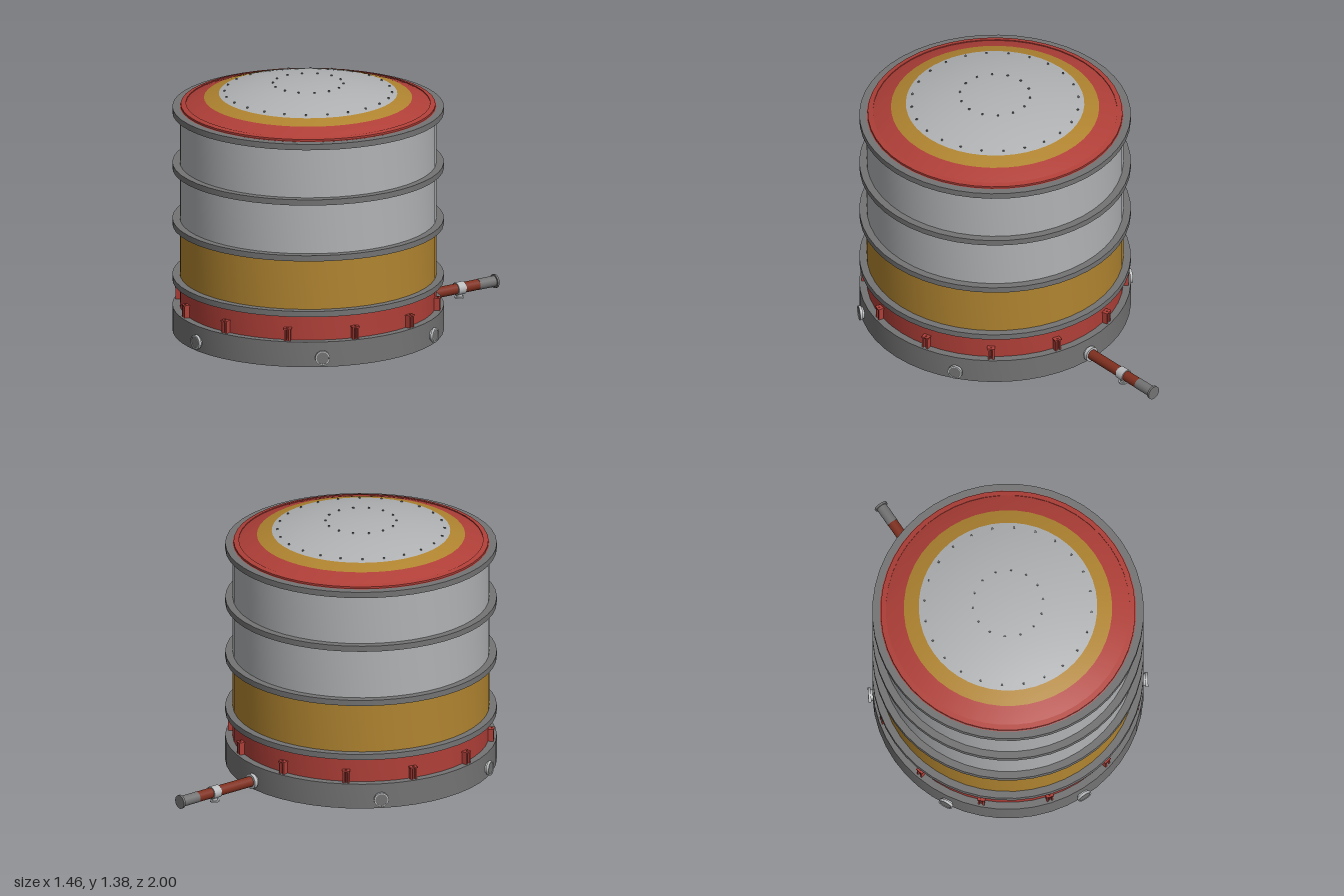
import * as THREE from 'three';
import { toCreasedNormals } from 'three/addons/utils/BufferGeometryUtils.js';

const SEG = 48, CZ = 0.245, WALL = 0.69, RIM = 0.73, PIPE_Y = 0.055;

function paint(name, color, side = THREE.FrontSide) {
  const m = new THREE.MeshStandardMaterial({ color, side });
  m.name = name;
  return m;
}

export function createModel() {
  const D = THREE.DoubleSide;
  const grey = paint('light grey', 0xb0b2b4, D);
  const ochre = paint('ochre', 0xb08430, D);
  const red = paint('red', 0xb03f38, D);
  const steel = paint('dark grey', 0x737373, D);
  const rust = paint('dark red', 0x80301f);
  const fitting = paint('pale grey', 0xb9bbbd, D);

  const model = new THREE.Group();
  model.name = 'storageTank';
  const tank = new THREE.Group();
  tank.name = 'tankBody';
  tank.position.z = CZ;
  model.add(tank);

  const add = (parent, name, geo, mat, x = 0, y = 0, z = 0) => {
    const mesh = new THREE.Mesh(geo, mat);
    mesh.name = name;
    mesh.position.set(x, y, z);
    parent.add(mesh);
    return mesh;
  };
  const lathe = (points, seg = SEG) => toCreasedNormals(
    new THREE.LatheGeometry(points.map(([r, y]) => new THREE.Vector2(r, y)), seg), 0.5);
  // Cylinder lying along z
  const rod = (r, length, seg = 20) => new THREE.CylinderGeometry(r, r, length, seg).rotateX(Math.PI / 2);

  // Base curb, open below
  add(tank, 'baseRing', lathe([[RIM, 0], [RIM, 0.14], [0.685, 0.14]]), steel);

  // Wall courses, open inside
  [['lowerWall', 0.14, 0.295, red], ['bandWall', 0.295, 0.605, ochre],
    ['middleWall', 0.605, 0.92, grey], ['upperWall', 0.92, 1.24, grey]]
    .forEach(([name, a, b, mat]) => add(tank, name, lathe([[WALL, a], [WALL, b]]), mat));

  // Stiffening rings
  [[0.28, 0.312], [0.592, 0.624], [0.905, 0.937], [1.215, 1.248]].forEach(([a, b]) =>
    add(tank, 'stiffeningRing', lathe([[0.675, a], [RIM, a], [RIM, b], [0.675, b], [0.675, a]]), steel));

  // Domed roof in three coloured zones
  const R = 1.83, APEX = 1.385;
  const roofY = r => APEX - R + Math.sqrt(R * R - r * r);
  const zone = (outer, inner, steps) => lathe(Array.from({ length: steps + 1 }, (_, i) => {
    const r = outer + (inner - outer) * i / steps;
    return [r, roofY(r)];
  }));
  add(tank, 'roofOuterZone', zone(WALL, 0.56, 4), red);
  add(tank, 'roofMiddleZone', zone(0.56, 0.48, 3), ochre);
  add(tank, 'roofCentre', zone(0.48, 0, 10), grey);
  add(tank, 'roofLip', lathe([[0.685, 1.248], [0.685, 1.262], [0.657, 1.268], [0.657, 1.25]]), red);

  // Roof bolts
  const boltGeo = new THREE.CylinderGeometry(0.006, 0.006, 0.008, 6);
  [[0.45, 24], [0.19, 14]].forEach(([r, n]) => {
    for (let i = 0; i < n; i++) {
      const a = (i + 0.5) / n * Math.PI * 2;
      add(tank, 'roofBolt', boltGeo, steel, r * Math.sin(a), roofY(r) + 0.002, r * Math.cos(a));
    }
  });

  // Anchor chairs: two gussets under a cap plate
  for (let i = 0; i < 12; i++) {
    const chair = new THREE.Group();
    chair.name = 'anchorChair';
    chair.rotation.y = (i + 0.5) * Math.PI / 6;
    tank.add(chair);
    for (const s of [-1, 1])
      add(chair, 'gusset', new THREE.BoxGeometry(0.009, 0.065, 0.032), red, s * 0.013, 0.172, 0.702);
    add(chair, 'capPlate', new THREE.BoxGeometry(0.042, 0.007, 0.036), red, 0, 0.207, 0.703);
    add(chair, 'anchorBolt', new THREE.CylinderGeometry(0.005, 0.005, 0.075, 6), red, 0, 0.177, 0.707);
  }

  // Flanged nozzles round the base
  for (let i = 0; i < 6; i++) {
    const nozzle = new THREE.Group();
    nozzle.name = 'baseNozzle';
    nozzle.rotation.y = i * Math.PI / 3;
    tank.add(nozzle);
    const along = points => lathe(points, 24).rotateX(Math.PI / 2);
    add(nozzle, 'neck', along([[0.032, 0.715], [0.032, 0.745]]), fitting, 0, PIPE_Y);
    add(nozzle, 'flange', along([[0.033, 0.738], [0.04, 0.738], [0.04, 0.753], [0.033, 0.753], [0.033, 0.738]]),
      fitting, 0, PIPE_Y);
    add(nozzle, 'cover', rod(0.034, 0.008), steel, 0, PIPE_Y, 0.746);
  }

  // Outlet pipe with valve at the back
  const pipe = new THREE.Group();
  pipe.name = 'outletPipe';
  pipe.position.y = PIPE_Y;
  model.add(pipe);
  const section = (name, r, a, b, mat) => add(pipe, name, rod(r, a - b), mat, 0, 0, (a + b) / 2);
  section('tankFlange', 0.042, -0.495, -0.515, fitting);
  section('innerPipe', 0.029, -0.5, -0.74, rust);
  section('valveBody', 0.035, -0.735, -0.785, fitting);
  section('outerPipe', 0.029, -0.78, -0.88, rust);
  section('endPipe', 0.03, -0.88, -0.99, steel);
  section('endFlange', 0.038, -0.988, -1, steel);
  add(pipe, 'valveStub', new THREE.CylinderGeometry(0.017, 0.017, 0.045, 14), fitting, 0, -0.027, -0.76);
  add(pipe, 'valveFoot', new THREE.CylinderGeometry(0.026, 0.026, 0.008, 14), fitting, 0, -0.049, -0.76);

  return model;
}
